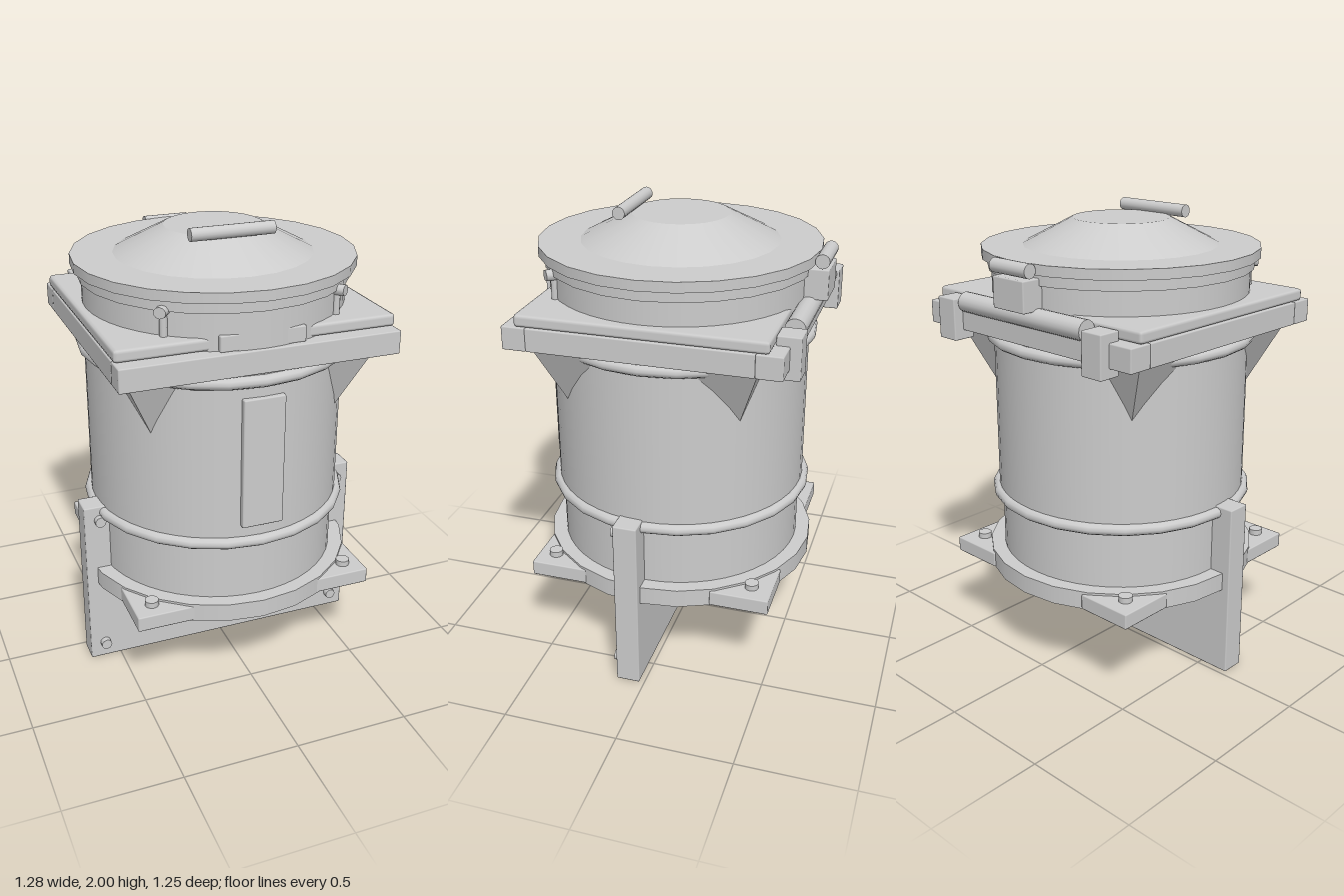
import * as THREE from 'three';
import { RoundedBoxGeometry } from 'three/addons/geometries/RoundedBoxGeometry.js';
import { ConvexGeometry } from 'three/addons/geometries/ConvexGeometry.js';

const CZ = 0.02; // z of the barrel axis

export function createModel() {
  const model = new THREE.Group();
  model.name = 'latchedCanister';
  const grey = new THREE.MeshStandardMaterial({ color: 0xcccccc });
  grey.name = 'paleGrey';

  function add(name, geometry, x = 0, y = 0, z = 0) {
    const mesh = new THREE.Mesh(geometry, grey);
    mesh.name = name;
    mesh.position.set(x, y, z);
    model.add(mesh);
    return mesh;
  }
  // Box given by its lower and upper limits on each axis
  function box(name, x0, x1, y0, y1, z0, z1, r = 0.006) {
    const w = x1 - x0, h = y1 - y0, d = z1 - z0;
    return add(name, new RoundedBoxGeometry(w, h, d, 1, r), (x0 + x1) / 2, (y0 + y1) / 2, (z0 + z1) / 2);
  }
  // Upright round section on the barrel axis
  function drum(name, rTop, rBottom, y0, y1, sides = 24) {
    return add(name, new THREE.CylinderGeometry(rTop, rBottom, y1 - y0, sides), 0, (y0 + y1) / 2, CZ);
  }
  function ring(name, y, radius = 0.565, tube = 0.025) {
    add(name, new THREE.TorusGeometry(radius, tube, 10, 24), 0, y, CZ).rotation.x = Math.PI / 2;
  }
  function rod(name, r, length, y, z) {
    add(name, new THREE.CylinderGeometry(r, r, length, 16), 0, y, z).rotation.z = Math.PI / 2;
  }

  // Barrel
  drum('barrelFoot', 0.54, 0.54, 0.42, 0.75, 48);
  drum('barrel', 0.555, 0.555, 0.74, 1.76, 48);
  ring('lowerHoop', 0.755, 0.56);
  ring('upperHoop', 1.47);
  box('frontPanel', -0.09, 0.09, 0.83, 1.4, 0.54, 0.593);

  // Lid with a truncated cone and grip
  drum('lidSeal', 0.572, 0.572, 1.755, 1.803);
  drum('lid', 0.598, 0.598, 1.802, 1.845);
  drum('lidCone', 0.208, 0.42, 1.845, 1.955);
  rod('lidGrip', 0.027, 0.36, 1.973, 0.23);

  // Square collar frame and the plate above it
  box('frontRail', -0.59, 0.59, 1.5, 1.6, 0.487, 0.587);
  box('backRail', -0.59, 0.59, 1.5, 1.6, -0.555, -0.445);
  for (const s of [-1, 1]) {
    box('sideRail', s * 0.54 - 0.05, s * 0.54 + 0.05, 1.5, 1.6, -0.445, 0.487);
  }
  box('collarPlate', -0.59, 0.59, 1.6, 1.653, -0.5, 0.533, 0.015);
  box('frontCatch', -0.18, 0.18, 1.6, 1.667, 0.5, 0.565);

  // Rear hinges of the collar and the lid
  rod('collarHingePin', 0.043, 0.714, 1.625, -0.548);
  box('lidHingeBlock', -0.09, 0.09, 1.655, 1.785, -0.625, -0.5);
  rod('lidHingePin', 0.03, 0.206, 1.822, -0.598);

  // Base disc and mounting plate
  drum('baseDisc', 0.605, 0.605, 0.4, 0.48);
  box('mountingPlate', -0.64, 0.64, 0, 0.785, 0.022, 0.127);
  box('lowerStrip', -0.445, 0.445, 0.29, 0.41, 0.12, 0.137, 0.003);

  for (const s of [-1, 1]) {
    box('hingeBlock', s * 0.4275 - 0.0525, s * 0.4275 + 0.0525, 1.46, 1.64, -0.6, -0.5);
    box('stripBracket', s * 0.455 - 0.01, s * 0.455 + 0.01, 0.3, 0.41, 0.12, 0.162, 0.003);

    // Wing screws on the neck
    add('screwStem', new THREE.CylinderGeometry(0.016, 0.016, 0.1, 10), s * 0.365, 1.703, 0.443);
    const wing = add('screwWing', new THREE.CylinderGeometry(0.026, 0.026, 0.075, 10), s * 0.365, 1.755, 0.443);
    wing.rotation.set(Math.PI / 2, 0, -s * 0.7);
    wing.scale.z = 0.9;

    // Mounting bolts
    for (const y of [0.075, 0.72]) {
      add('mountingBolt', new THREE.CylinderGeometry(0.024, 0.024, 0.05, 12), s * 0.572, y, 0.128).rotation.x = Math.PI / 2;
    }

    for (const t of [-1, 1]) {
      // Foot lugs with bolts
      const lx = s * 0.407, lz = CZ - 0.005 + t * 0.407;
      box('footLug', lx - 0.128, lx + 0.128, 0.402, 0.47, lz - 0.128, lz + 0.128);
      add('footBolt', new THREE.CylinderGeometry(0.03, 0.03, 0.06, 12), s * 0.45, 0.465, CZ + t * 0.45);

      // Tapered corner gussets under the frame
      const corner = (x, y, z) => new THREE.Vector3(s * x, y, CZ + t * z);
      add('cornerGusset', new ConvexGeometry([
        corner(0.54, 1.505, 0.47), corner(0.2, 1.505, 0.47),
        corner(0.54, 1.505, 0.15), corner(0.41, 1.23, 0.372),
      ]));
    }
  }
  return model;
}
